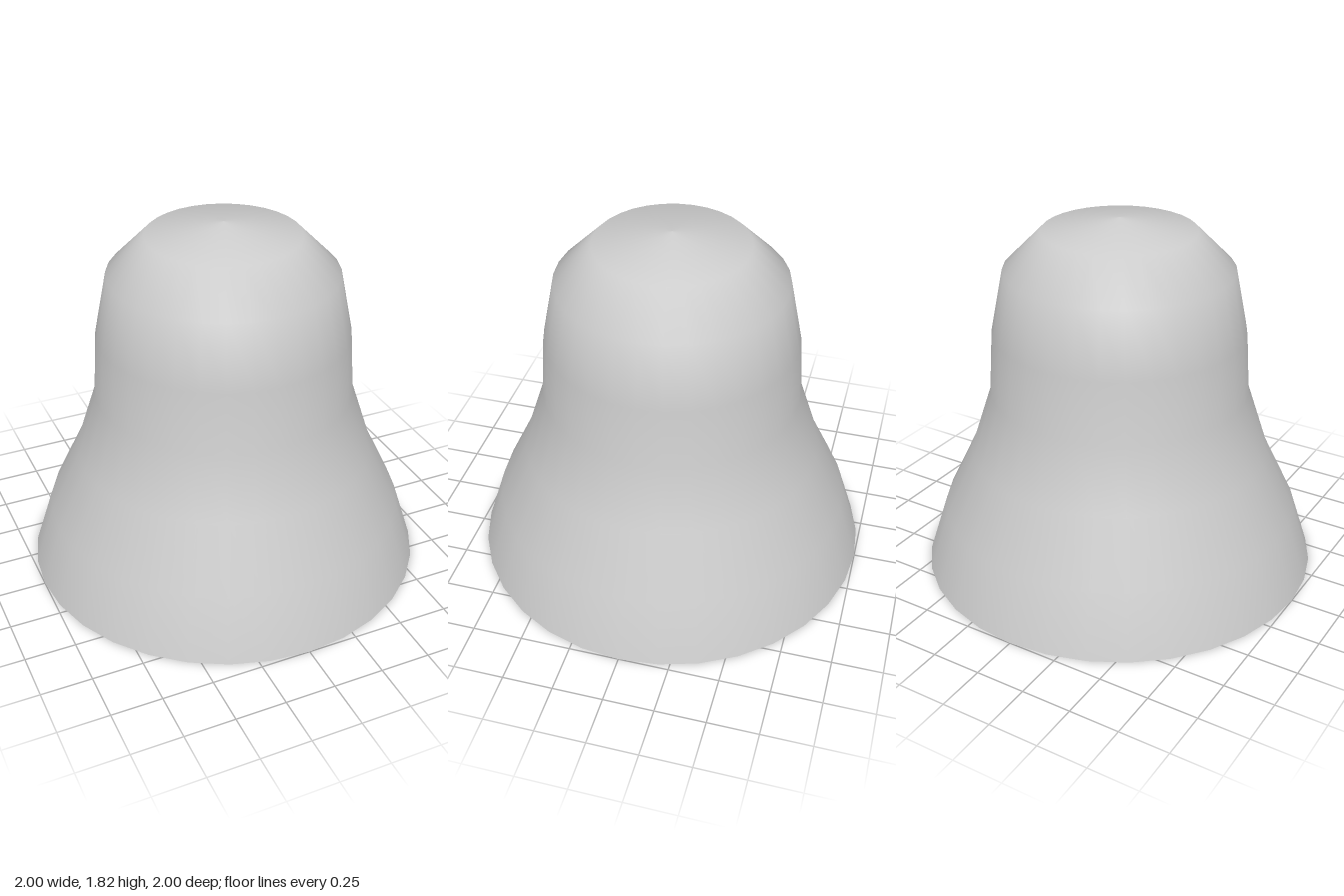
import * as THREE from 'three';

export function createModel() {
  const group = new THREE.Group();
  group.name = 'bell';

  // Profile from the open rim up to the shallow crown: radius, height
  const profile = [
    [1, 0], [0.9, 0.31], [0.75, 0.62], [0.645, 0.94],
    [0.625, 1.25], [0.562, 1.565], [0.375, 1.753], [0, 1.815],
  ].map(([r, y]) => new THREE.Vector2(r, y));

  // Thin shell, open at the bottom, so both sides show
  const shell = new THREE.Mesh(
    new THREE.LatheGeometry(profile, 32),
    new THREE.MeshStandardMaterial({ color: 0xcccccc, side: THREE.DoubleSide })
  );
  shell.name = 'bellShell';
  group.add(shell);

  return group;
}
